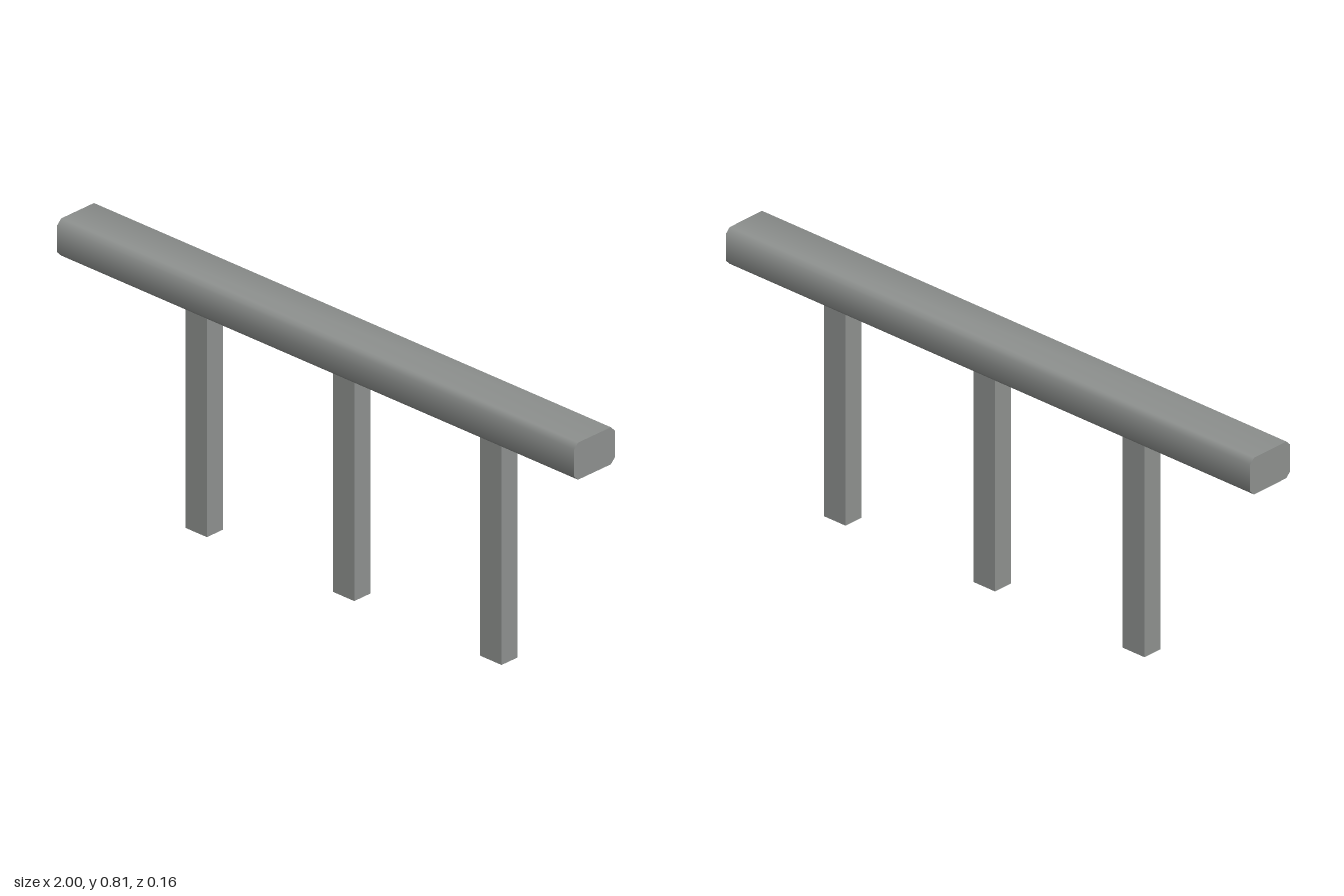
import * as THREE from 'three';
import { toCreasedNormals } from 'three/addons/utils/BufferGeometryUtils.js';

export function createModel() {
  const model = new THREE.Group();
  model.name = 'guardRail';
  const steel = new THREE.MeshStandardMaterial({ color: 0x8e918f, side: THREE.DoubleSide });
  steel.name = 'grey steel';

  // Beam: rectangle with cut corners, swept along x and shaded smoothly around its length
  const w = 0.082, bottom = 0.699, top = 0.815, c = 0.016;
  const profile = new THREE.Shape([
    [-w + c, bottom], [w - c, bottom], [w, bottom + c], [w, top - c],
    [w - c, top], [-w + c, top], [-w, top - c], [-w, bottom + c],
  ].map(([x, y]) => new THREE.Vector2(x, y)));
  const beamGeometry = new THREE.ExtrudeGeometry(profile, { depth: 2, bevelEnabled: false, steps: 1 });
  beamGeometry.translate(0, 0, -1).rotateY(Math.PI / 2);
  const beam = new THREE.Mesh(toCreasedNormals(beamGeometry, 1), steel);
  beam.name = 'beam';
  model.add(beam);

  // Posts: hollow square tubes, open at the ends
  const tube = new THREE.CylinderGeometry(Math.SQRT1_2, Math.SQRT1_2, 1, 4, 1, true, Math.PI / 4).toNonIndexed();
  tube.scale(0.083, bottom, 0.065).translate(0, bottom / 2, 0.01);
  tube.computeVertexNormals();
  for (const x of [-0.5, 0.07, 0.64]) {
    const post = new THREE.Mesh(tube, steel);
    post.name = 'post';
    post.position.x = x;
    model.add(post);
  }
  return model;
}
